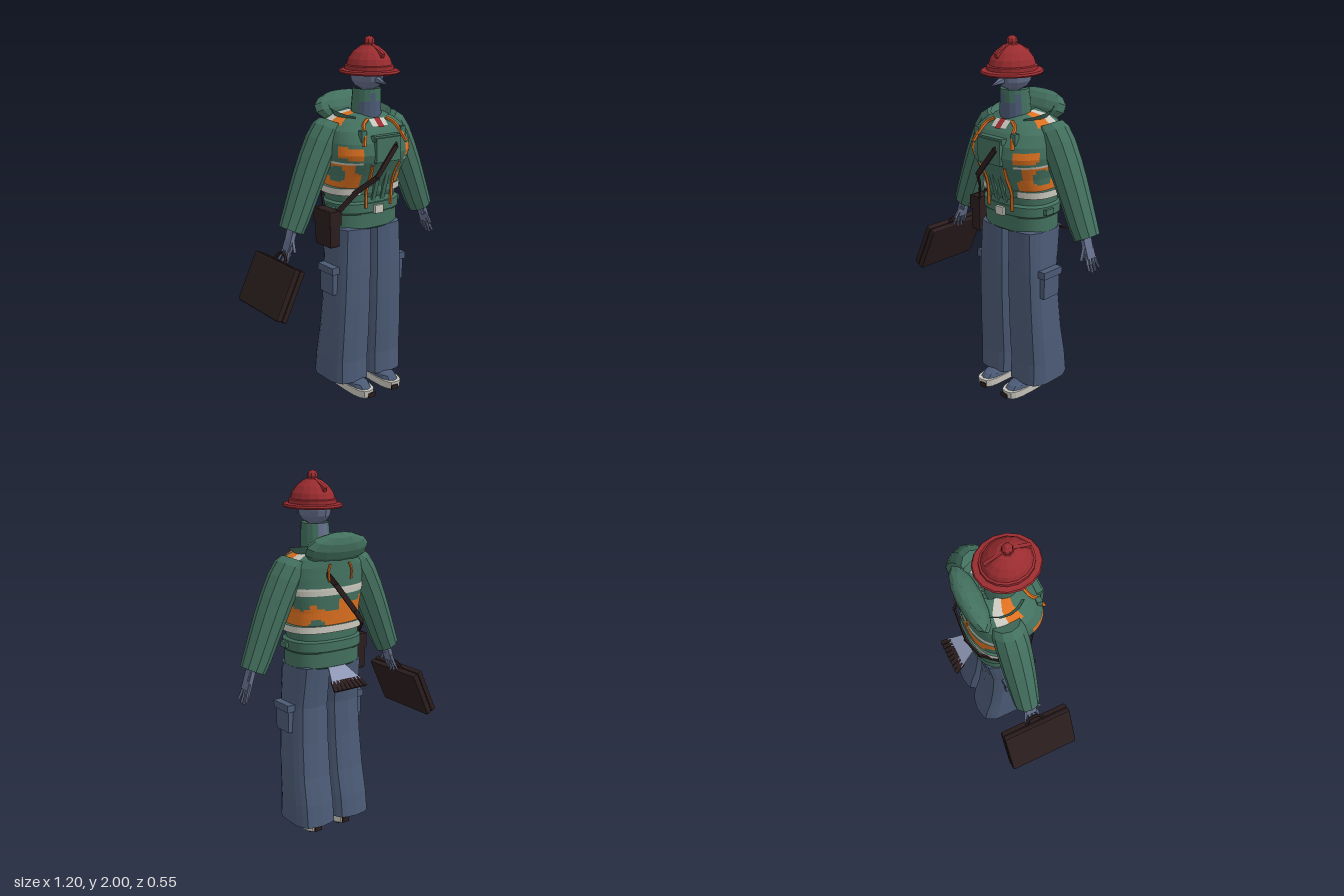
import * as THREE from 'three';
import { RoundedBoxGeometry } from 'three/addons/geometries/RoundedBoxGeometry.js';

const mat = (name, color, side = THREE.FrontSide) => Object.assign(new THREE.MeshStandardMaterial({ color, side }), { name });
const CX = 0.08; // the body stands a little to its left
const V = (x, y, z) => new THREE.Vector3(x, y, z);

export function createModel() {
  const green = mat('jacketGreen', 0x43705f, THREE.DoubleSide), denim = mat('denim', 0x4b5a75), red = mat('hatRed', 0x9a2c30);
  const orange = mat('orange', 0xdc7020), white = mat('offWhite', 0xc9c7bd, THREE.DoubleSide), brown = mat('darkBrown', 0x2b1d1e);
  const slate = mat('slateSkin', 0x656f8c), lavender = mat('tailLavender', 0x8d96b4);
  const root = new THREE.Group();

  // faceted mesh from any geometry
  const add = (name, geo, material, pos = [0, 0, 0], parent = root) => {
    const g = geo.index ? geo.toNonIndexed() : geo;
    g.computeVertexNormals();
    const m = new THREE.Mesh(g, material);
    m.name = name;
    m.position.set(...pos);
    parent.add(m);
    return m;
  };
  const box = (name, material, size, pos, parent) => add(name, new THREE.BoxGeometry(...size), material, pos, parent);
  // box stretched between two points
  const bar = (name, material, a, b, w, t) => {
    const m = box(name, material, [t, w, a.distanceTo(b) + t], [0, 0, 0]);
    m.position.copy(a).lerp(b, 0.5);
    m.lookAt(b);
    return m;
  };
  // flat outline given depth
  const slab = (name, material, pts, depth, pos, parent) => add(name, new THREE.ExtrudeGeometry(
    new THREE.Shape(pts.map(p => new THREE.Vector2(...p))), { depth, bevelEnabled: false }).translate(0, 0, -depth / 2), material, pos, parent);
  // grid of faces over point(u, v); pick(u, v) chooses the material of each face
  const grid = (name, nu, nv, point, pick) => {
    const faces = new Map();
    for (let j = 0; j < nv; j++) for (let i = 0; i < nu; i++) {
      const m = pick.isMaterial ? pick : pick((i + 0.5) / nu, (j + 0.5) / nv);
      if (!faces.has(m)) faces.set(m, []);
      const [a, b, c, d] = [[i, j], [i + 1, j], [i + 1, j + 1], [i, j + 1]].map(([p, q]) => point(p / nu, q / nv));
      for (const p of [a, b, c, a, c, d]) faces.get(m).push(p.x, p.y, p.z);
    }
    for (const [m, list] of faces)
      add(name, new THREE.BufferGeometry().setAttribute('position', new THREE.Float32BufferAttribute(list, 3)), m);
  };
  // rows of numbers interpolated at t (0..1)
  const mix = (rows, t) => {
    const f = t * (rows.length - 1), i = Math.min(Math.floor(f), rows.length - 2), k = f - i;
    return rows[i].map((n, q) => n + (rows[i + 1][q] - n) * k);
  };
  const pw = (n, e) => Math.sign(n) * Math.abs(n) ** e;
  // superellipse section: row = [y, centre x, half width, front z, back z]
  const section = ([y, cx, rx, zf, zb], a, e = 0.8, k = 1) =>
    V(cx + rx * k * pw(Math.sin(a), e), y, (zf + zb) / 2 + (zf - zb) / 2 * k * pw(Math.cos(a), e));
  const loft = (name, rows, n, m, e = 0.8) =>
    grid(name, n, rows.length - 1, (u, v) => section(mix(rows, v), (u - 0.5) * Math.PI * 2, e), m);

  // jacket body
  const body = [
    [0.97, CX, 0.195, 0.15, -0.13], [0.98, CX, 0.208, 0.162, -0.142], [1.06, CX, 0.208, 0.165, -0.145],
    [1.07, CX, 0.217, 0.172, -0.152], [1.12, CX, 0.217, 0.172, -0.152], [1.13, CX, 0.2, 0.155, -0.142],
    [1.17, CX, 0.203, 0.158, -0.142], [1.172, CX, 0.226, 0.17, -0.15], [1.21, CX, 0.226, 0.175, -0.15],
    [1.212, CX, 0.208, 0.172, -0.145], [1.28, CX, 0.213, 0.205, -0.15], [1.36, CX, 0.235, 0.245, -0.155],
    [1.4, CX, 0.243, 0.256, -0.157], [1.46, CX, 0.24, 0.245, -0.155], [1.52, CX, 0.225, 0.205, -0.152],
    [1.56, CX, 0.185, 0.165, -0.15], [1.59, CX, 0.13, 0.13, -0.13], [1.61, CX, 0.06, 0.11, -0.06]];
  const bodyRow = y => {
    const i = body.findLastIndex((r, k) => k < body.length - 1 && r[0] <= y);
    return mix([body[i], body[i + 1]], Math.min(1, (y - body[i][0]) / (body[i + 1][0] - body[i][0])));
  };
  // green camouflage blots on the orange band: angle, height, half sizes
  const blots = [[3.0, 1.335, 0.45, 0.04], [-2.1, 1.24, 0.3, 0.03], [2.15, 1.345, 0.35, 0.05], [-2.75, 1.35, 0.25, 0.03],
    [2.6, 1.22, 0.25, 0.025], [1.35, 1.29, 0.3, 0.05], [-1.35, 1.29, 0.3, 0.05], [0.6, 1.32, 0.12, 0.05], [-0.6, 1.33, 0.12, 0.04]];
  const camo = (a, y) => {
    const s = Math.abs(a), front = s < 0.5, back = s > 1.7, wave = Math.sin(a * 5 + 1) + Math.sin(a * 9) * 0.5;
    if (y > 1.172 && y < 1.21) return s < 0.4 ? green : white;
    if (!front && (back ? y > 1.372 && y < 1.41 : y > 1.352 && y < 1.365)) return white;
    if (y > 1.212 && y < 1.35 && !front)
      return blots.some(([p, q, ra, ry]) => ((a - p) / ra) ** 2 + ((y - q) / ry) ** 2 < 1) ? green : orange;
    if (s > 0.55 && s < 1.25 && Math.abs(y - 1.41 - wave * 0.008) < 0.03) return orange;
    if (y > 1.55 && s > 1.15 && s < 1.9) return s > 1.6 ? white : orange;
    return green;
  };
  const ys = [];
  for (let i = 0; i < body.length - 1; i++) {
    const n = Math.max(1, Math.round((body[i + 1][0] - body[i][0]) / 0.012));
    for (let k = 0; k < n; k++) ys.push([body[i][0] + (body[i + 1][0] - body[i][0]) * k / n]);
  }
  ys.push([1.61]);
  const yAt = v => mix(ys, v)[0], angle = u => (u - 0.5) * Math.PI * 2;
  grid('jacketBody', 60, ys.length - 1, (u, v) => section(bodyRow(yAt(v)), angle(u)), (u, v) => camo(angle(u), yAt(v)));

  // point on the front of the jacket
  const frontPoint = (x, y, off = 0.01) => {
    const [, cx, rx, zf, zb] = bodyRow(y), t = Math.min(1, Math.abs(x - cx) / rx);
    return V(x, y, (zf + zb) / 2 + (zf - zb) / 2 * (1 - t ** 2.5) ** 0.4 + off);
  };
  const plate = (name, m, x0, x1, y0, y1, off) =>
    grid(name, 6, 8, (u, v) => frontPoint(x0 + (x1 - x0) * u, y0 + (y1 - y0) * v, off), m);
  plate('frontPlacket', green, 0.0, 0.165, 1.125, 1.36, 0.01);
  box('chestPocket', green, [0.16, 0.13, 0.03], [CX, 1.425, 0.247]);
  box('chestPocketFlap', green, [0.17, 0.03, 0.035], [CX, 1.485, 0.235]);
  for (const x of [0.05, 0.11]) box('frontTab', green, [0.025, 0.22, 0.02], [x, 1.22, 0.188]).rotation.x = 0.3;
  box('buckle', white, [0.056, 0.045, 0.016], [CX, 1.085, 0.18]);
  plate('shirtCollar', white, 0.03, 0.13, 1.54, 1.575, 0.006);
  plate('tie', red, 0.062, 0.098, 1.535, 1.58, 0.01);

  // sides that mirror: s = 1 left, -1 right
  const arm = [[0.12, 1.5, 0], [0.145, 1.535, 0.055], [0.175, 1.55, 0.075], [0.205, 1.52, 0.088], [0.245, 1.455, 0.092],
    [0.295, 1.355, 0.09], [0.335, 1.265, 0.087], [0.375, 1.17, 0.082], [0.42, 1.06, 0.076], [0.448, 0.998, 0.07],
    [0.446, 1.003, 0.052], [0.44, 1.02, 0]];
  const leg = [[0.04, 0.118, 0, 0, 0], [0.085, 0.117, 0.108, 0.12, -0.14], [0.075, 0.117, 0.122, 0.145, -0.165],
    [0.2, 0.116, 0.121, 0.14, -0.15], [0.35, 0.113, 0.12, 0.148, -0.12], [0.55, 0.109, 0.116, 0.155, -0.1],
    [0.75, 0.105, 0.112, 0.158, -0.09], [0.98, 0.1, 0.106, 0.155, -0.12], [1.0, 0.1, 0.08, 0.12, -0.1]];
  for (const s of [1, -1]) {
    const X = d => CX + s * d;
    // sleeve, tilted rings along a bent path
    grid('sleeve', 10, arm.length - 1, (u, v) => {
      const [d, y, r] = mix(arm, v), a = s * u * Math.PI * 2, c = Math.cos(a) * r;
      return V(X(d + c * 0.9), y + c * 0.42, -0.002 + Math.sin(a) * r);
    }, green);
    // wide pleated trouser leg
    grid('trouserLeg', 20, leg.length - 1, (u, v) => {
      const [y, d, rx, zf, zb] = mix(leg, v), k = 1 + 0.015 * Math.cos(u * Math.PI * 20);
      return section([y, X(d), rx, zf, zb], angle(u), 0.65, k);
    }, denim);
    box('legPocket', denim, [0.035, 0.15, 0.12], [X(0.228), 0.685, 0.035]);
    box('legPocketFlap', denim, [0.046, 0.04, 0.14], [X(0.233), 0.75, 0.035]);
    // shoes
    const fx = X(0.097);
    loft('shoeSole', [[0.005, fx, 0, 0.08, 0.07], [0.005, fx, 0.056, 0.235, -0.085], [0.05, fx, 0.06, 0.242, -0.09],
      [0.052, fx, 0, 0.08, 0.07]], 16, white, 0.65);
    loft('shoeUpper', [[0.045, fx, 0.055, 0.228, -0.085], [0.07, fx, 0.052, 0.2, -0.083], [0.085, fx, 0.045, 0.14, -0.08],
      [0.11, fx, 0.04, 0.08, -0.07]], 14, denim, 0.75);
    for (let i = 0; i < 5; i++) box('soleTread', brown, [0.08, 0.008, 0.015], [fx, 0.004, -0.06 + i * 0.062]);
    box('toeGuard', brown, [0.045, 0.026, 0.008], [fx - s * 0.015, 0.02, 0.239]);
    box('heelGuard', brown, [0.045, 0.03, 0.008], [fx, 0.022, -0.088]);
    // hand
    const palm = V(X(0.475), 0.925, 0.01);
    bar('wrist', slate, V(X(0.448), 1.005, 0.005), V(X(0.46), 0.965, 0.008), 0.03, 0.045);
    bar('palm', slate, V(X(0.462), 0.965, 0.01), palm, 0.024, 0.062);
    for (let i = 0; i < 4; i++) {
      const z = 0.034 - i * 0.018, mid = V(X(0.493), 0.875, 0.012 + (z - 0.01) * 1.3);
      bar('finger', slate, V(X(0.475), 0.925, z), mid, 0.014, 0.013);
      bar('fingertip', slate, mid, V(X(0.508), i % 3 ? 0.83 : 0.845, 0.012 + (z - 0.01) * 1.5), 0.01, 0.01);
    }
    bar('thumb', slate, V(X(0.462), 0.96, 0.035), V(X(0.472), 0.9, 0.066), 0.014, 0.014);
    // drawcords and webbing
    const cord = (name, r, pts) => add(name, new THREE.TubeGeometry(new THREE.CatmullRomCurve3(pts), 12, r, 5), orange);
    cord('drawcord', 0.01, [frontPoint(X(0.06), 1.575), frontPoint(X(0.1), 1.55), frontPoint(X(0.115), 1.51), frontPoint(X(0.14), 1.45)]);
    cord('webbing', 0.009, [frontPoint(X(0.09), 1.35), frontPoint(X(0.078), 1.28), frontPoint(X(0.085), 1.2, 0.014), frontPoint(X(0.085), 1.1, 0.012)]);
    cord('backCord', 0.007, [V(X(0.06), 1.54, -0.158), V(X(0.075), 1.5, -0.162), V(X(0.07), 1.45, -0.163)]);
    box('shoulderClip', green, [0.03, 0.06, 0.03], [X(0.13), 1.5, 0.205]);
    box('beltTab', green, [0.02, 0.03, 0.06], [X(0.222), 1.095, 0.04]);
  }

  // hood and standing collar
  const hood = add('hood', new THREE.SphereGeometry(1, 12, 7), green, [0.07, 1.61, -0.118]);
  hood.scale.set(0.2, 0.094, 0.063);
  hood.rotation.x = -0.5;
  grid('collar', 14, 2, (u, v) => {
    const a = 0.75 + u * (Math.PI * 2 - 1.5), r = 0.125 + v * 0.035;
    return V(CX + r * 1.1 * Math.sin(a), 1.56 + v * (0.03 + 0.05 * Math.sin(u * Math.PI)), 0.01 + r * Math.cos(a));
  }, green);

  // neck gaiter, head and beak
  grid('neckGaiter', 16, 8, (u, v) => section([1.55 + v * 0.18, CX, 0.085 - v * 0.01, 0.145, -0.03 + v * 0.02], angle(u), 1), (u, v) => {
    const a = Math.abs(u - 0.5);
    return a < 0.2 && v < 0.72 + 0.15 * Math.sin(u * 30) ? denim : a > 0.42 && v > 0.4 ? slate : green;
  });
  add('head', new THREE.SphereGeometry(1, 12, 8), slate, [CX, 1.8, 0.068]).scale.set(0.083, 0.085, 0.106);
  const beak = add('beak', new THREE.ConeGeometry(0.028, 0.11, 6), slate, [CX, 1.772, 0.19]);
  beak.rotation.x = Math.PI / 2 + 0.25;

  // hat with knob and ridge
  const hat = new THREE.Group();
  hat.name = 'hat';
  hat.position.set(CX, 0, 0.087);
  root.add(hat);
  const profile = [[0, 1.808], [0.15, 1.808], [0.157, 1.816], [0.152, 1.826], [0.126, 1.83], [0.126, 1.85], [0.116, 1.854],
    [0.107, 1.885], [0.082, 1.92], [0.045, 1.95], [0, 1.96]].map(p => new THREE.Vector2(...p));
  add('hatShell', new THREE.LatheGeometry(profile, 16), red, [0, 0, 0], hat).scale.z = 1.11;
  add('hatKnobBase', new THREE.CylinderGeometry(0.022, 0.034, 0.02, 8), red, [0, 1.958, 0], hat);
  add('hatKnob', new THREE.SphereGeometry(0.029, 8, 6), red, [0, 1.971, 0], hat);
  slab('hatRidge', red, [[-0.1, 1.87], [0.1, 1.87], [0.122, 1.915], [0.03, 1.96], [-0.03, 1.96], [-0.122, 1.915]], 0.018,
    [0, 0, 0], hat).rotation.y = -Math.PI / 2;

  // shoulder bag and strap
  add('shoulderBag', new RoundedBoxGeometry(0.068, 0.21, 0.15, 1, 0.015), brown, [-0.168, 0.995, 0.05]);
  box('bagFlap', brown, [0.074, 0.08, 0.155], [-0.168, 1.055, 0.05]);
  const straps = [
    [V(0.155, 1.485, 0.2), V(0.125, 1.44, 0.266), V(0.0, 1.285, 0.266), V(-0.07, 1.2, 0.18), V(-0.15, 1.08, 0.11)],
    [V(0.155, 1.49, -0.145), V(0.125, 1.435, -0.185), V(0.0, 1.28, -0.185), V(-0.08, 1.2, -0.145), V(-0.155, 1.08, 0.0)]];
  for (const pts of straps) for (let i = 1; i < pts.length; i++) bar('bagStrap', brown, pts[i - 1], pts[i], 0.028, 0.009);

  // sloping tail with dark feather tips
  const tail = slab('tail', lavender, [[-0.095, -0.125], [0.095, -0.125], [0.05, 0], [-0.05, 0]], 0.008, [0.085, 0.985, -0.125]);
  tail.rotation.x = 0.95;
  for (let i = 0; i < 8; i++) {
    const k = (i - 3.5) / 3.5;
    bar('tailFeather', brown, V(0.085 + k * 0.083, 0.915, -0.222), V(0.085 + k * 0.094, 0.89, -0.258), 0.01, 0.023);
  }

  // briefcase
  const briefcase = new THREE.Group();
  briefcase.name = 'briefcase';
  briefcase.position.set(-0.512, 0.718, 0.013);
  briefcase.rotation.z = -0.436;
  root.add(briefcase);
  for (const s of [1, -1])
    add('briefcaseHalf', new RoundedBoxGeometry(0.034, 0.285, 0.4, 1, 0.01), brown, [s * 0.018, 0, 0], briefcase);
  box('briefcaseCore', brown, [0.04, 0.27, 0.385], [0, 0, 0], briefcase);
  const handle = add('briefcaseHandle', new THREE.TorusGeometry(0.05, 0.009, 5, 8, Math.PI), brown, [0, 0.138, 0], briefcase);
  handle.rotation.y = Math.PI / 2;
  return root;
}
